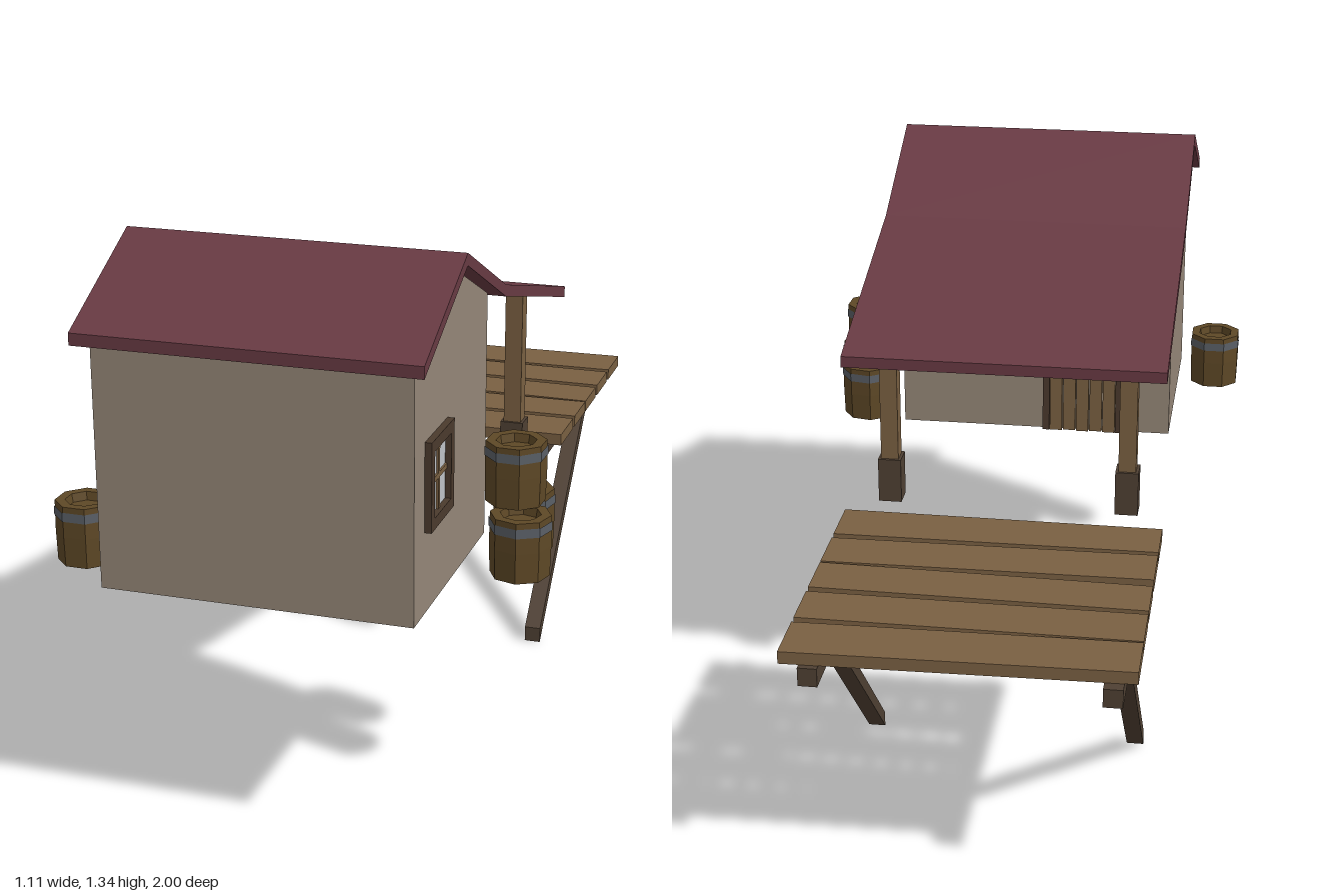
import * as THREE from 'three';

const mat = (color) => new THREE.MeshStandardMaterial({ color, flatShading: true });
const MAT = {
  wall: mat(0x958778), roof: mat(0x683a43), plank: mat(0x7a6042), beam: mat(0x4f4033),
  barrel: mat(0x5e4826), band: mat(0x5a5f66), glass: mat(0xc0c4c8), trim: mat(0x4b3a2d),
};

function add(parent, name, geometry, material, x = 0, y = 0, z = 0) {
  const mesh = new THREE.Mesh(geometry, material);
  mesh.name = name;
  mesh.position.set(x, y, z);
  parent.add(mesh);
  return mesh;
}

const box = (w, h, d) => new THREE.BoxGeometry(w, h, d);
const shapeOf = (pts) => new THREE.Shape(pts.map(([a, b]) => new THREE.Vector2(a, b)));

// Side profile given as [z, y], extruded along x from x0 to x1
function sideExtrude(shape, x0, x1) {
  const g = new THREE.ExtrudeGeometry(shape, { depth: x1 - x0, bevelEnabled: false });
  g.rotateY(-Math.PI / 2);
  g.translate(x1, 0, 0);
  return g;
}

const rect = (z0, y0, z1, y1) => [[z0, y0], [z1, y0], [z1, y1], [z0, y1]];

// Eight-sided barrel with a sunken lid and one iron band
function barrel(name, x, y, z, turn) {
  const g = new THREE.Group();
  g.name = name;
  const profile = [[0, 0], [0.069, 0], [0.071, 0.072], [0.07, 0.145], [0.047, 0.145], [0.043, 0.125], [0, 0.125]];
  add(g, 'barrelBody', new THREE.LatheGeometry(profile.map(([r, h]) => new THREE.Vector2(r, h)), 8), MAT.barrel);
  add(g, 'barrelBand', new THREE.CylinderGeometry(0.0725, 0.0725, 0.022, 8, 1, true), MAT.band, 0, 0.121, 0);
  g.position.set(x, y, z);
  g.rotation.y = turn;
  return g;
}

// Window in the +x wall
function windowUnit() {
  const g = new THREE.Group();
  g.name = 'window';
  const frame = shapeOf(rect(0.712, 0.77, 0.885, 0.975));
  frame.holes.push(new THREE.Path(rect(0.736, 0.796, 0.861, 0.948).map(([a, b]) => new THREE.Vector2(a, b))));
  add(g, 'windowFrame', sideExtrude(frame, 0.335, 0.358), MAT.trim);
  add(g, 'windowGlass', box(0.006, 0.152, 0.125), MAT.glass, 0.341, 0.872, 0.7985);
  add(g, 'windowBarUpright', box(0.012, 0.152, 0.012), MAT.plank, 0.343, 0.872, 0.7985);
  add(g, 'windowBarCross', box(0.011, 0.012, 0.125), MAT.plank, 0.343, 0.872, 0.7985);
  return g;
}

// Plank door in the back wall
function door() {
  const g = new THREE.Group();
  g.name = 'door';
  const cx = -0.15, count = 5, w = 0.036;
  for (let i = 0; i < count; i++) {
    const depth = i % 2 ? 0.012 : 0.016;
    add(g, 'doorPlank', box(w - 0.003, 0.385, depth), MAT.plank, cx + (i - 2) * w, 0.7725, 0.392 - depth / 2);
  }
  for (const s of [-1, 1]) add(g, 'doorJamb', box(0.018, 0.4, 0.02), MAT.trim, cx + s * 0.099, 0.78, 0.385);
  add(g, 'doorLintel', box(0.216, 0.018, 0.02), MAT.trim, cx, 0.972, 0.385);
  return g;
}

// Deck: five uneven planks on two beams with slanted struts
function deck() {
  const g = new THREE.Group();
  g.name = 'deck';
  // z edges of each plank: back and front at -x, then back and front at +x
  const planks = [
    [-0.971, -0.838, -0.987, -0.849], [-0.833, -0.706, -0.828, -0.7], [-0.69, -0.568, -0.679, -0.552],
    [-0.536, -0.408, -0.546, -0.419], [-0.393, -0.265, -0.398, -0.26],
  ];
  for (const [lb, lf, rb, rf] of planks) {
    const geo = new THREE.ExtrudeGeometry(
      shapeOf([[-0.415, -lf], [0.375, -rf], [0.375, -rb], [-0.415, -lb]]), { depth: 0.03, bevelEnabled: false });
    geo.rotateX(-Math.PI / 2);
    add(g, 'deckPlank', geo, MAT.plank, 0, 0.58, 0);
  }
  const strut = shapeOf([[-0.27, 0], [-0.27, 0.04], [-0.757, 0.536], [-0.8, 0.536]]);
  for (const x of [-0.363, 0.307]) {
    add(g, 'deckBeam', box(0.044, 0.045, 0.76), MAT.beam, x, 0.5575, -0.62);
    add(g, 'deckStrut', sideExtrude(strut, x - 0.021, x + 0.021), MAT.beam);
  }
  return g;
}

export function createModel() {
  const model = new THREE.Group();
  model.name = 'hutWithDeck';

  // Gabled house body
  const body = shapeOf([[0.39, 0.58], [0.96, 0.58], [0.96, 1.168], [0.68, 1.302], [0.39, 1.168]]);
  add(model, 'houseWalls', sideExtrude(body, -0.385, 0.342), MAT.wall);

  // Bent roof sheet covering house and porch
  const top = [[1, 1.18], [0.68, 1.337], [0.35, 1.18], [-0.255, 1.016]];
  const under = top.map(([z, y]) => [z, y - 0.028]).reverse();
  add(model, 'roof', sideExtrude(shapeOf([...top, ...under]), -0.415, 0.375), MAT.roof);

  // Porch posts on wider feet
  for (const x of [-0.315, 0.285]) {
    add(model, 'porchPost', box(0.044, 0.36, 0.044), MAT.plank, x, 0.865, -0.107);
    add(model, 'porchPostFoot', box(0.058, 0.115, 0.058), MAT.beam, x, 0.6375, -0.107);
  }

  model.add(windowUnit(), door(), deck());
  model.add(
    barrel('barrelLeftBack', 0.45, 0.58, 0.44, 0.2),
    barrel('barrelLeftFront', 0.482, 0.58, 0.6, 0.1),
    barrel('barrelLeftTop', 0.45, 0.725, 0.523, 0.35),
    barrel('barrelRight', -0.487, 0.58, 0.81, 0.39),
  );
  return model;
}
